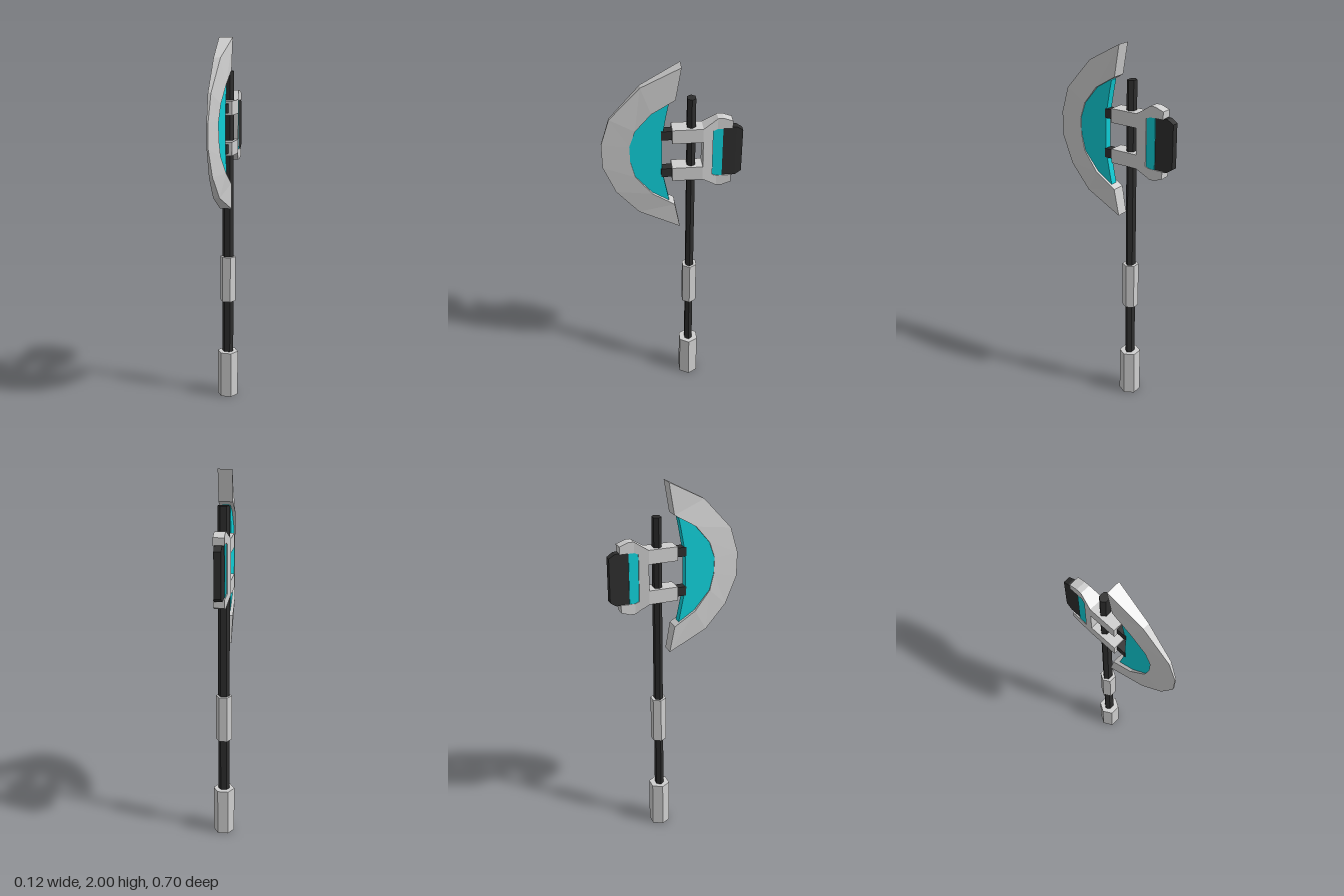
import * as THREE from 'three';

const steel = new THREE.MeshStandardMaterial({ color: 0xcfcfcf });
steel.name = 'light steel';
const dark = new THREE.MeshStandardMaterial({ color: 0x2d2d2d });
dark.name = 'dark metal';
const cyan = new THREE.MeshStandardMaterial({ color: 0x0fcdd6 });
cyan.name = 'cyan panel';

const SHAFT_Z = -0.093; // shaft axis
const MID_Y = 1.531;    // mirror height of the axe head

// Solid strip along the z-y plane, symmetric in x.
// Each station: outer [z, y, half thickness], inner [z, y, half thickness].
function strip(stations) {
  const [o0, i0] = stations[0];
  const [o1] = stations[1];
  const turn = (o1[1] - o0[1]) * (o0[0] - i0[0]) - (o1[0] - o0[0]) * (o0[1] - i0[1]);
  const list = turn < 0 ? stations : [...stations].reverse();
  const rings = list.map(([o, i]) => [
    [o[2], o[1], o[0]], [i[2], i[1], i[0]], [-i[2], i[1], i[0]], [-o[2], o[1], o[0]],
  ]);
  const pos = [];
  const quad = (a, b, c, d) => pos.push(...a, ...b, ...c, ...a, ...c, ...d);
  for (let s = 0; s < rings.length - 1; s++) {
    for (let k = 0; k < 4; k++) {
      const n = (k + 1) % 4;
      quad(rings[s][k], rings[s + 1][k], rings[s + 1][n], rings[s][n]);
    }
  }
  const end = rings[rings.length - 1];
  quad(...rings[0]);
  quad(end[3], end[2], end[1], end[0]);
  const geo = new THREE.BufferGeometry();
  geo.setAttribute('position', new THREE.Float32BufferAttribute(pos, 3));
  geo.computeVertexNormals();
  return geo;
}

// Faceted six-sided rod on the shaft axis, with corners pointing to the sides
function hexRod(radius, y0, y1, depthScale = 1) {
  const geo = new THREE.CylinderGeometry(radius, radius, y1 - y0, 6).toNonIndexed();
  geo.rotateY(Math.PI / 6);
  geo.scale(1, 1, depthScale);
  geo.translate(0, (y0 + y1) / 2, SHAFT_Z);
  geo.computeVertexNormals();
  return geo;
}

function box(halfX, y0, y1, z0, z1) {
  const geo = new THREE.BoxGeometry(halfX * 2, y1 - y0, z1 - z0);
  geo.translate(0, (y0 + y1) / 2, (z0 + z1) / 2);
  return geo;
}

export function createModel() {
  const model = new THREE.Group();
  model.name = 'battleAxe';
  const add = (name, geo, mat, parent = model) => {
    const mesh = new THREE.Mesh(geo, mat);
    mesh.name = name;
    parent.add(mesh);
  };

  // Handle
  add('shaft', hexRod(0.031, 0.02, 1.828, 0.78), dark);
  add('grip', hexRod(0.043, 0.56, 0.815), steel);
  add('pommel', hexRod(0.058, 0, 0.26), steel);

  // Crescent blade: thin at the cutting edge, thick along the inner rim
  add('blade', strip([
    [[-0.04, 2.0, 0.037], [-0.012, 1.835, 0.037]],
    [[0.155, 1.897, 0.018], [0.105, 1.765, 0.036]],
    [[0.31, 1.73, 0.008], [0.185, 1.67, 0.027]],
    [[0.354, 1.59, 0.004], [0.215, 1.585, 0.023]],
    [[0.352, 1.46, 0.004], [0.213, 1.5, 0.023]],
    [[0.29, 1.315, 0.009], [0.19, 1.41, 0.026]],
    [[0.175, 1.19, 0.017], [0.105, 1.31, 0.036]],
    [[-0.037, 1.095, 0.033], [-0.01, 1.238, 0.037]],
  ]), steel);

  // Panel filling the inside of the crescent
  const t = 0.02;
  add('bladePanel', strip([
    [[0.024, 1.817, t], [0.018, 1.812, t]],
    [[0.107, 1.765, t], [0.03, 1.755, t]],
    [[0.187, 1.67, t], [0.046, 1.665, t]],
    [[0.217, 1.585, t], [0.054, 1.62, t]],
    [[0.215, 1.5, t], [0.054, 1.44, t]],
    [[0.192, 1.41, t], [0.047, 1.4, t]],
    [[0.107, 1.31, t], [0.03, 1.315, t]],
    [[0.024, 1.253, t], [0.018, 1.256, t]],
  ]), cyan);

  // Bracket: two arms with hooks, mirrored above and below the middle
  const bracket = new THREE.Group();
  bracket.name = 'bracket';
  model.add(bracket);
  for (const [label, s] of [['upper', 1], ['lower', -1]]) {
    const y = (d) => MID_Y + s * d;
    const span = (a, b) => [Math.min(y(a), y(b)), Math.max(y(a), y(b))];
    add(label + 'Arm', box(0.043, ...span(0.07, 0.144), -0.15, 0.004), steel, bracket);
    add(label + 'Peg', box(0.024, ...span(0.082, 0.13), -0.01, 0.058), dark, bracket);
    add(label + 'Hook', strip([
      [-0.15, 0.144, 0.07, 0.043],
      [-0.2, 0.176, 0.125, 0.0325],
      [-0.222, 0.191, 0.134, 0.028],
      [-0.25, 0.191, 0.134, 0.028],
      [-0.297, 0.174, 0.134, 0.028],
    ].map(([z, out, inn, h]) => [[z, y(out), h], [z, y(inn), h]])), steel, bracket);
  }
  add('backBar', strip([
    [[-0.15, MID_Y + 0.14, 0.043], [-0.15, MID_Y - 0.14, 0.043]],
    [[-0.2, MID_Y + 0.14, 0.0325], [-0.2, MID_Y - 0.14, 0.0325]],
  ]), steel, bracket);

  // Hammer block on the back, with its coloured mount
  add('hammerMount', box(0.026, MID_Y - 0.136, MID_Y + 0.136, -0.25, -0.2), cyan);
  add('hammerBlock', strip([
    [-0.25, 0.137, 0.022],
    [-0.318, 0.137, 0.02],
    [-0.35, 0.116, 0.018],
  ].map(([z, d, h]) => [[z, MID_Y + d, h], [z, MID_Y - d, h]])), dark);

  return model;
}
